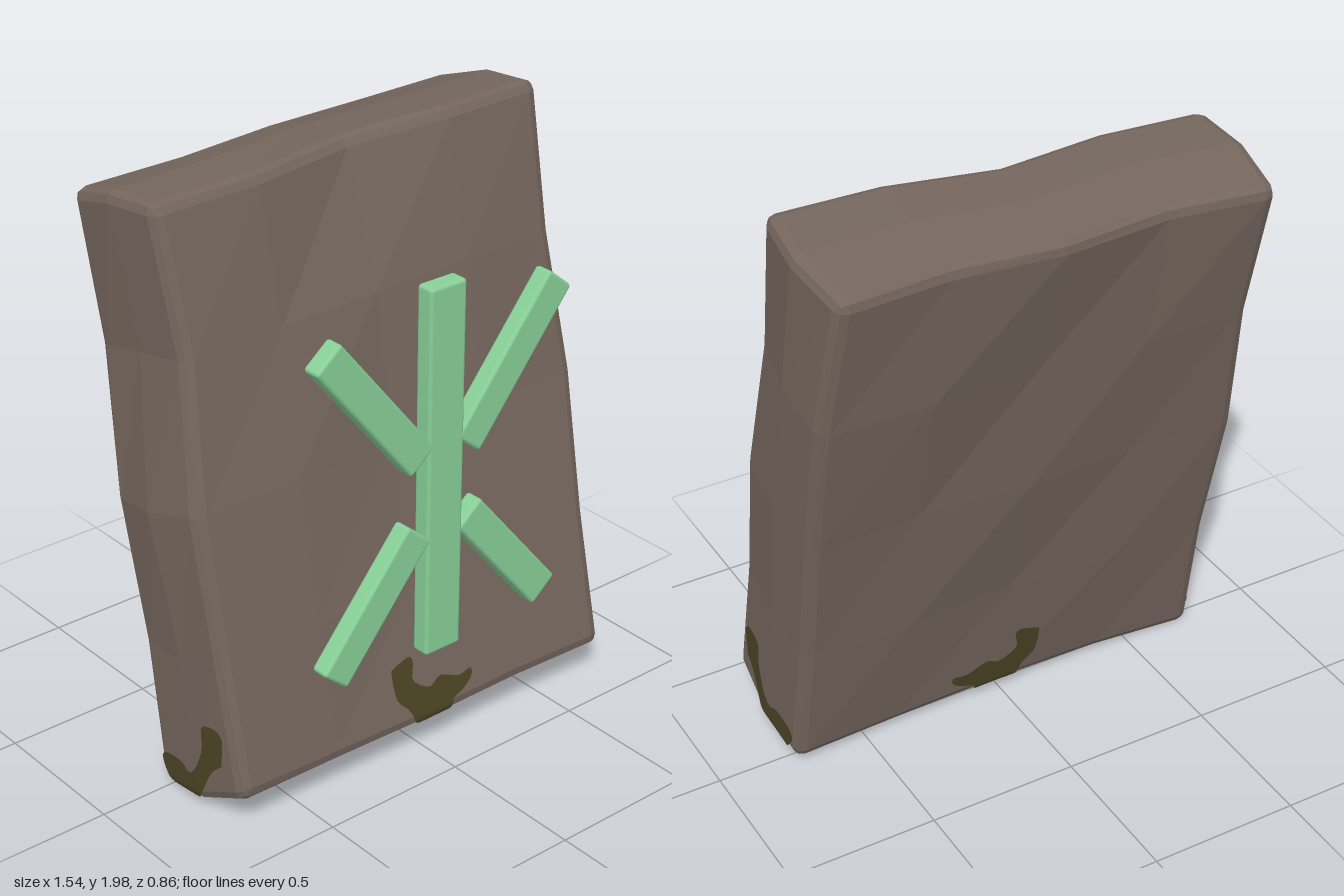
import * as THREE from 'three';
import { RoundedBoxGeometry } from 'three/addons/geometries/RoundedBoxGeometry.js';

const W = 1.48, H = 1.9, D = 0.46, R = 0.035, TILT = 0.2;

// Surface unevenness. Rows run bottom to top, columns left to right or back to front.
const frontBumps = [
  [-0.035, -0.028, -0.02, -0.01, 0],
  [-0.03, -0.02, -0.025, -0.012, -0.005],
  [-0.02, -0.01, -0.03, -0.02, -0.015],
  [-0.015, -0.02, -0.015, -0.005, -0.012],
  [-0.03, -0.02, -0.07, -0.02, -0.02],
];
const backBumps = [
  [0, 0.015, 0.01, 0.01, 0],
  [0.01, -0.005, 0.015, 0, 0.005],
  [0, 0.012, -0.01, 0.015, 0.005],
  [0.008, 0, 0.015, -0.008, 0],
  [0, 0.03, -0.005, 0.02, 0],
];
const leftEdge = [[0, -0.005, 0.01], [0.01, -0.005, 0], [0, -0.035, -0.01], [0.03, 0.025, 0.03], [0.02, 0, 0.01]];
const rightEdge = [[0.015, 0.02, 0], [0.01, 0.015, -0.005], [0.02, 0.03, 0.015], [0.02, 0.025, -0.02], [-0.02, 0.025, 0]];
const topBumps = [[-0.03, -0.02, -0.01, 0, 0], [-0.015, 0, 0.01, 0.02, 0.025], [-0.04, -0.03, -0.01, 0, 0.008]];
const bottomBumps = [[-0.035, -0.015, 0, -0.01, -0.015], [-0.05, -0.02, 0, -0.02, -0.03], [0.005, 0, -0.005, 0.005, 0]];

// Bilinear lookup, u across and v along the rows, both 0..1.
function sample(table, u, v) {
  const lookup = (row) => {
    const t = THREE.MathUtils.clamp(u, 0, 1) * (row.length - 1);
    const i = Math.min(Math.floor(t), row.length - 2);
    return THREE.MathUtils.lerp(row[i], row[i + 1], t - i);
  };
  const t = THREE.MathUtils.clamp(v, 0, 1) * (table.length - 1);
  const j = Math.min(Math.floor(t), table.length - 2);
  return THREE.MathUtils.lerp(lookup(table[j]), lookup(table[j + 1]), t - j);
}

// Rounds a point on the box surface, then pushes it by the bumps.
function warp(p, lift = 0) {
  const limit = new THREE.Vector3(W / 2 - R, H / 2 - R, D / 2 - R);
  const inner = p.clone().clamp(limit.clone().negate(), limit);
  const q = p.clone().sub(inner).setLength(R + lift).add(inner);
  const u = q.x / W + 0.5, v = q.y / H + 0.5, w = q.z / D + 0.5;
  const mix = THREE.MathUtils.lerp;
  q.x += mix(sample(leftEdge, w, v), sample(rightEdge, w, v), u);
  q.y += mix(sample(bottomBumps, u, w), sample(topBumps, u, w), v);
  q.z += mix(sample(backBumps, u, v), sample(frontBumps, u, v), w);
  return q;
}

function warpGeometry(geo, lift) {
  const pos = geo.attributes.position;
  const p = new THREE.Vector3();
  for (let i = 0; i < pos.count; i++) {
    const q = warp(p.fromBufferAttribute(pos, i), lift);
    pos.setXYZ(i, q.x, q.y, q.z);
  }
  const flat = geo.index ? geo.toNonIndexed() : geo;
  flat.computeVertexNormals();
  return flat;
}

// Box with extra edge loops beside the corners for the bevel.
function slabGeometry() {
  const geo = new THREE.BoxGeometry(6, 6, 4, 6, 6, 4);
  const loops = (size, mids) => [-size / 2, -size / 2 + R, ...mids.map((m) => m * size), size / 2 - R, size / 2];
  const xs = loops(W, [-0.25, 0, 0.25]), ys = loops(H, [-0.25, 0, 0.25]), zs = loops(D, [0]);
  const pos = geo.attributes.position;
  for (let i = 0; i < pos.count; i++) {
    pos.setXYZ(i, xs[Math.round(pos.getX(i) + 3)], ys[Math.round(pos.getY(i) + 3)], zs[Math.round(pos.getZ(i) + 2)]);
  }
  return warpGeometry(geo, 0);
}

// Moss outline, finely split so that it hugs the stone; place() puts it on a face.
function mossGeometry(outline, place) {
  const curve = new THREE.SplineCurve(outline.map(([a, b]) => new THREE.Vector2(a, b)));
  const pts = curve.getPoints(outline.length * 3);
  const flat = new THREE.ShapeGeometry(new THREE.Shape(pts)).toNonIndexed();
  const pos = flat.attributes.position;
  let tris = [];
  for (let i = 0; i < pos.count; i += 3) {
    tris.push([0, 1, 2].map((k) => new THREE.Vector3().fromBufferAttribute(pos, i + k)));
  }
  for (let n = 0; n < 3; n++) {
    tris = tris.flatMap(([a, b, c]) => {
      const ab = a.clone().lerp(b, 0.5), bc = b.clone().lerp(c, 0.5), ca = c.clone().lerp(a, 0.5);
      return [[a, ab, ca], [ab, b, bc], [ca, bc, c], [ab, bc, ca]];
    });
  }
  const geo = new THREE.BufferGeometry().setFromPoints(tris.flat().map(place));
  return warpGeometry(geo, 0.006);
}

export function createModel() {
  const stone = new THREE.MeshStandardMaterial({ color: 0x74665d });
  stone.name = 'brown stone';
  const green = new THREE.MeshStandardMaterial({ color: 0x88d098 });
  green.name = 'pale green';
  const moss = new THREE.MeshStandardMaterial({ color: 0x4a4424, side: THREE.DoubleSide });
  moss.name = 'dark moss';

  const model = new THREE.Group();
  model.name = 'carvedStone';
  const add = (parent, name, geo, mat) => {
    const mesh = new THREE.Mesh(geo, mat);
    mesh.name = name;
    parent.add(mesh);
    return mesh;
  };

  // Leaning slab
  const leaning = new THREE.Group();
  leaning.name = 'leaningSlab';
  leaning.position.set(0, 1.02, -0.02);
  leaning.rotation.x = -TILT;
  model.add(leaning);
  add(leaning, 'slab', slabGeometry(), stone);

  // Moss patches on all four upright faces
  const wide = [[-0.13, -0.73], [-0.06, -0.706], [-0.04, -0.73], [-0.05, -0.79], [0.01, -0.834], [0.06, -0.813],
    [0.13, -0.842], [0.18, -0.834], [0.18, -0.864], [0.14, -0.895], [0.1, -0.91], [0.085, -0.946],
    [0.02, -0.946], [-0.05, -0.946], [-0.08, -0.885], [-0.12, -0.84], [-0.13, -0.78]];
  const deep = [[0.177, -0.74], [0.153, -0.705], [0.073, -0.694], [0.052, -0.776], [-0.032, -0.861], [-0.089, -0.839],
    [-0.181, -0.841], [-0.199, -0.878], [-0.15, -0.939], [-0.016, -0.94], [0.082, -0.853], [0.149, -0.826]];
  for (const [s, face, side] of [[1, 'front', 'left'], [-1, 'back', 'right']]) {
    add(leaning, face + 'Moss', mossGeometry(wide, (p) => new THREE.Vector3(p.x, p.y, s * D / 2)), moss);
    add(leaning, side + 'Moss', mossGeometry(deep, (p) => new THREE.Vector3(s * W / 2, p.y, p.x)), moss);
  }

  // Upright sign of five bars floating before the slab
  const sign = new THREE.Group();
  sign.name = 'sign';
  sign.position.z = 0.4;
  model.add(sign);
  const bar = (name, x, y, width, length, angle) => {
    const mesh = add(sign, name, new RoundedBoxGeometry(width, length, 0.065, 2, 0.012), green);
    mesh.position.set(x, y, 0);
    mesh.rotation.z = angle;
  };
  bar('centreBar', 0, 1.04, 0.14, 1.24, 0);
  for (const [s, side] of [[1, 'left'], [-1, 'right']]) {
    bar(side + 'UpperBar', s * 0.27, 1.33, 0.118, 0.575, -s * 0.68);
    bar(side + 'LowerBar', s * 0.264, 0.67, 0.118, 0.515, s * 0.695);
  }
  return model;
}
